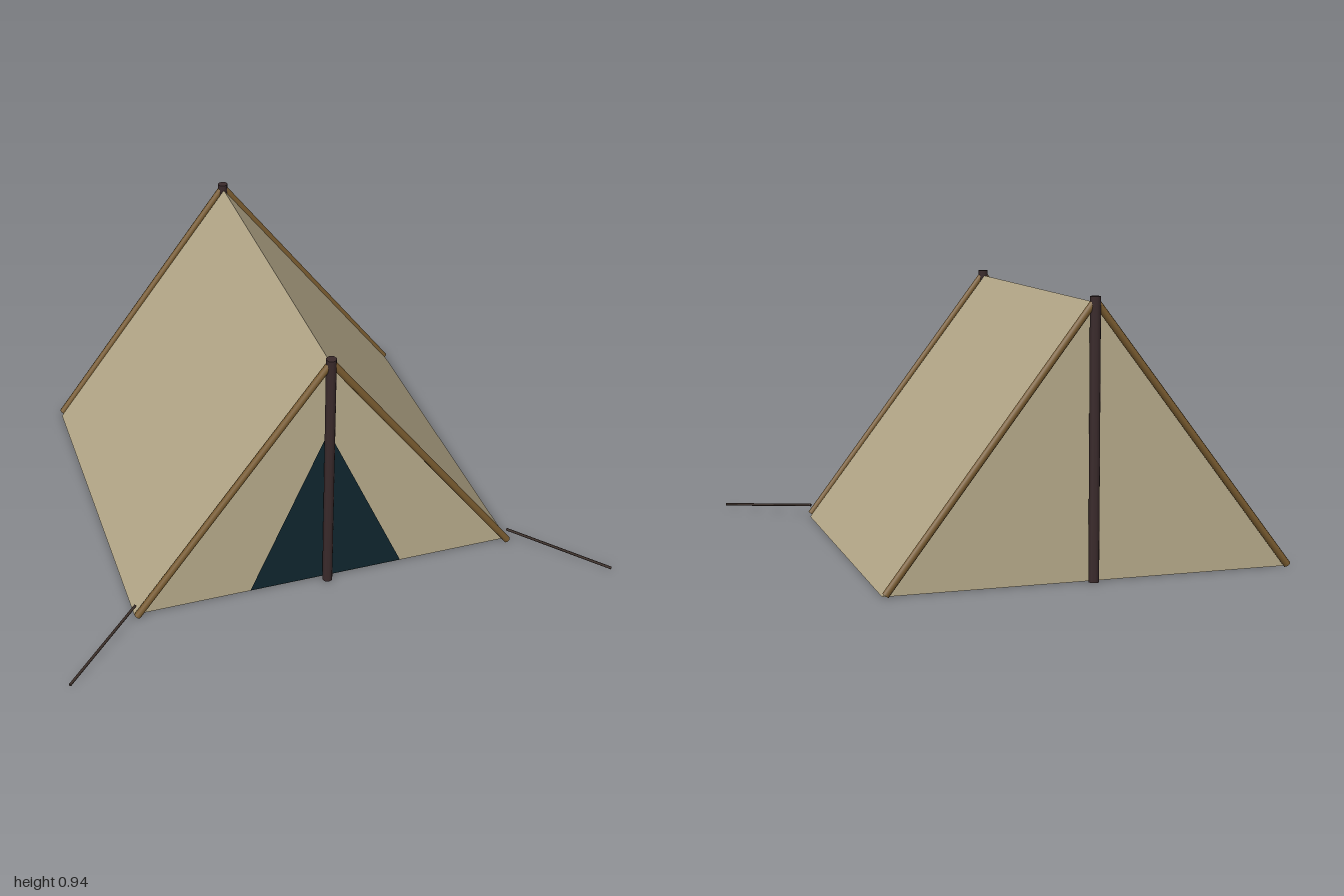
import * as THREE from 'three';

const HALF = 0.71, RIDGE = 0.925, FRONT = 0.51, BACK = -0.767;

function material(name, color, side = THREE.FrontSide) {
  const m = new THREE.MeshStandardMaterial({ color, side });
  m.name = name;
  return m;
}

// Flat polygon from corner points, fanned from the first corner
function panel(name, corners, mat) {
  const pos = [];
  for (let i = 1; i < corners.length - 1; i++) pos.push(...corners[0], ...corners[i], ...corners[i + 1]);
  const geo = new THREE.BufferGeometry();
  geo.setAttribute('position', new THREE.Float32BufferAttribute(pos, 3));
  geo.computeVertexNormals();
  const mesh = new THREE.Mesh(geo, mat);
  mesh.name = name;
  return mesh;
}

// Straight round rod between two points
function rod(name, from, to, radius, mat, sides = 8) {
  const a = new THREE.Vector3(...from), b = new THREE.Vector3(...to);
  const dir = b.clone().sub(a);
  const mesh = new THREE.Mesh(new THREE.CylinderGeometry(radius, radius, dir.length(), sides), mat);
  mesh.position.copy(a).add(b).multiplyScalar(0.5);
  mesh.quaternion.setFromUnitVectors(new THREE.Vector3(0, 1, 0), dir.normalize());
  mesh.name = name;
  return mesh;
}

export function createModel() {
  const tent = new THREE.Group();
  tent.name = 'tent';
  const canvas = material('canvas', 0xb8ab8b, THREE.DoubleSide);
  const opening = material('dark opening', 0x10262f, THREE.DoubleSide);
  const wood = material('brown wood', 0x7a5c30);
  const darkWood = material('dark wood', 0x3a2a2b);
  const rope = material('rope', 0x3c2f29);

  // Canvas gables, open underneath
  tent.add(panel('frontWall', [[-HALF, 0, FRONT], [HALF, 0, FRONT], [0, RIDGE, FRONT]], canvas));
  tent.add(panel('backWall', [[HALF, 0, BACK], [-HALF, 0, BACK], [0, RIDGE, BACK]], canvas));

  // Door opening just in front of the front wall
  const dz = FRONT + 0.005;
  tent.add(panel('doorOpening', [[-0.285, 0.005, dz], [0.285, 0.005, dz], [0, 0.64, dz]], opening));

  // Upright and sloping poles at each end
  for (const [end, z] of [['front', 0.529], ['back', -0.783]]) {
    tent.add(rod(end + 'Upright', [0, 0, z], [0, 0.945, z], 0.019, darkWood));
    for (const s of [-1, 1]) {
      tent.add(rod(end + (s > 0 ? 'Left' : 'Right') + 'SlopePole',
        [s * 0.703, 0.008, z], [0, 0.932, z], 0.013, wood));
    }
  }

  for (const s of [-1, 1]) {
    const side = s > 0 ? 'left' : 'right';
    // Roof slope, corners ordered to face outward
    const roof = [[s * HALF, 0, FRONT], [s * HALF, 0, BACK], [0, RIDGE, BACK], [0, RIDGE, FRONT]];
    tent.add(panel(side + 'Roof', s > 0 ? roof : roof.reverse(), canvas));
    // Guy rope out to the ground
    tent.add(rod(side + 'GuyRope', [s * 0.705, 0.045, 0.515], [s * 0.997, 0.01, 0.797], 0.005, rope, 6));
  }
  return tent;
}
